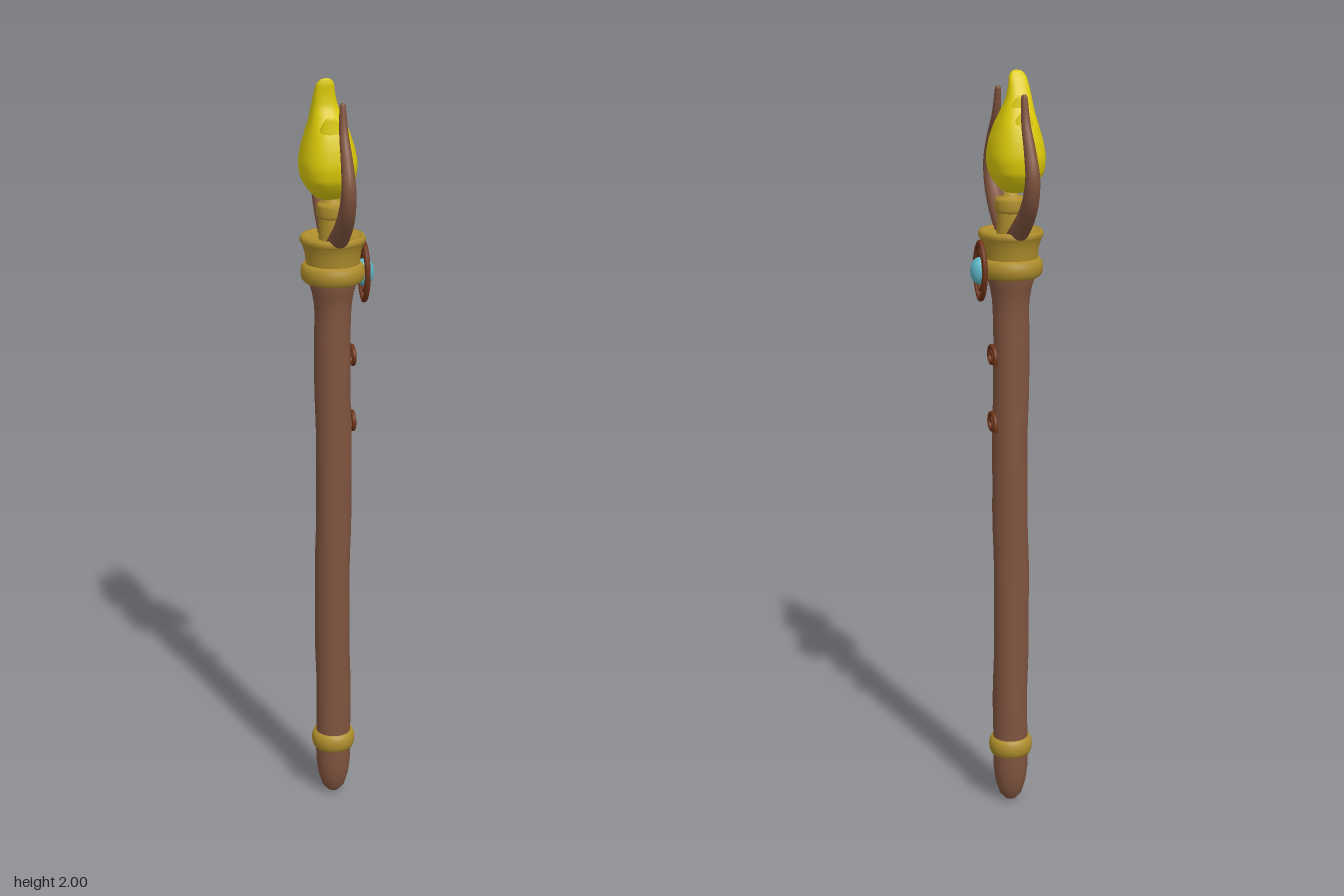
import * as THREE from 'three';

const AXIS = -0.013; // x of the shaft's centre line

const mat = (name, color, side = THREE.FrontSide) => {
  const m = new THREE.MeshStandardMaterial({ color, side });
  m.name = name;
  return m;
};

// Closed loft through stations [y, centreX, centreZ, radiusX, radiusZ]
function loft(stations, power = 1, rings = 40, sides = 36) {
  const centre = new THREE.CatmullRomCurve3(stations.map(s => new THREE.Vector3(s[1], s[0], s[2])));
  const size = new THREE.CatmullRomCurve3(stations.map(s => new THREE.Vector3(s[3], 0, s[4])));
  const round = v => Math.sign(v) * Math.abs(v) ** power;
  const pos = [], index = [];
  for (let i = 0; i <= rings; i++) {
    const c = centre.getPoint(i / rings), r = size.getPoint(i / rings);
    for (let j = 0; j < sides; j++) {
      const a = (j / sides) * Math.PI * 2;
      pos.push(c.x + r.x * round(Math.cos(a)), c.y, c.z + r.z * round(Math.sin(a)));
      if (i === rings) continue;
      const p = i * sides + j, q = i * sides + (j + 1) % sides;
      index.push(p, p + sides, q, q, p + sides, q + sides);
    }
  }
  const g = new THREE.BufferGeometry();
  g.setAttribute('position', new THREE.Float32BufferAttribute(pos, 3));
  g.setIndex(index);
  g.computeVertexNormals();
  return g;
}

// Tube whose radius shrinks from r0 to r1 along the path
function taperedTube(path, r0, r1, segments = 48, sides = 16) {
  const g = new THREE.TubeGeometry(path, segments, 1, sides);
  const p = g.attributes.position, v = new THREE.Vector3();
  for (let i = 0; i < p.count; i++) {
    const t = Math.floor(i / (sides + 1)) / segments;
    const c = path.getPointAt(t);
    v.fromBufferAttribute(p, i).sub(c).multiplyScalar(r0 + (r1 - r0) * t ** 1.3).add(c);
    p.setXYZ(i, v.x, v.y, v.z);
  }
  return g;
}

const lathe = pts => new THREE.LatheGeometry(pts.map(p => new THREE.Vector2(p[0], p[1])), 48);

export function createModel() {
  const wood = mat('wood', 0x80543f);
  const gold = mat('gold', 0xae8d2c, THREE.DoubleSide);
  const flameYellow = mat('flame yellow', 0xdcca08);
  const rust = mat('rust brown', 0x6e3319);
  const teal = mat('teal gem', 0x5cb6c6);

  const model = new THREE.Group();
  model.name = 'torchStaff';
  const add = (name, geometry, material, parent = model) => {
    const m = new THREE.Mesh(geometry, material);
    m.name = name;
    parent.add(m);
    return m;
  };

  // Shaft: rounded foot, long slightly uneven stem, flared top
  const stem = [[0, 0], [0.016, 0.004], [0.03, 0.02], [0.041, 0.055], [0.047, 0.1], [0.048, 0.16]];
  for (let i = 0; i <= 48; i++) stem.push([0.047, 0.19 + i * 0.025]);
  stem.push([0.049, 1.42], [0.054, 1.45], [0.06, 1.47], [0.06, 1.5]);
  const shaft = lathe(stem);
  const p = shaft.attributes.position;
  for (let i = 0; i < p.count; i++) {
    const y = p.getY(i), a = Math.atan2(p.getZ(i), p.getX(i));
    const fade = THREE.MathUtils.smoothstep(y, 0.15, 0.3) * (1 - THREE.MathUtils.smoothstep(y, 1.3, 1.4));
    const s = 1 + 0.03 * fade * Math.sin(a * 3 + y * 9) * Math.sin(y * 17);
    p.setX(i, p.getX(i) * s + 0.002 * fade * Math.sin(y * 8));
    p.setZ(i, p.getZ(i) * s);
  }
  shaft.computeVertexNormals();
  add('shaft', shaft, wood).position.x = AXIS;

  // Gold fittings
  const fittings = new THREE.Group();
  fittings.name = 'goldFittings';
  fittings.position.x = AXIS;
  model.add(fittings);
  add('footRing', lathe([[0.045, 0.14], [0.053, 0.143], [0.058, 0.155], [0.059, 0.167],
    [0.058, 0.178], [0.053, 0.189], [0.045, 0.192]]), gold, fittings);
  add('collarRing', lathe([[0.05, 1.477], [0.072, 1.479], [0.08, 1.487], [0.083, 1.503],
    [0.081, 1.518], [0.074, 1.527], [0.06, 1.53]]), gold, fittings);
  add('collarCup', lathe([[0.068, 1.52], [0.07, 1.535], [0.072, 1.555], [0.077, 1.572], [0.082, 1.584]]), gold, fittings);
  add('collarRim', lathe([[0.08, 1.58], [0.084, 1.585], [0.084, 1.594], [0.08, 1.6],
    [0.072, 1.6], [0.066, 1.592], [0, 1.588]]), gold, fittings);
  add('pedestal', lathe([[0.037, 1.585], [0.036, 1.61], [0.035, 1.65]]), gold, fittings);
  add('pedestalCap', lathe([[0.03, 1.643], [0.038, 1.645], [0.041, 1.653], [0.041, 1.674],
    [0.038, 1.682], [0.02, 1.686], [0.012, 1.705], [0, 1.71]]), gold, fittings);

  // Two curved prongs around the flame, mirrored in z
  for (const s of [1, -1]) {
    const prong = new THREE.Group();
    prong.name = s > 0 ? 'frontProng' : 'backProng';
    model.add(prong);
    const path = new THREE.CatmullRomCurve3([[1.575, 0.03], [1.605, 0.068], [1.645, 0.118], [1.695, 0.158],
      [1.755, 0.174], [1.82, 0.152], [1.88, 0.121], [1.945, 0.107]]
      .map(([y, z]) => new THREE.Vector3(AXIS, y, z * s)));
    add('prongHorn', taperedTube(path, 0.027, 0.008), wood, prong);
    add('prongTip', new THREE.SphereGeometry(0.008, 16, 10), wood, prong).position.copy(path.getPoint(1));
  }

  // Flame: squarish bulb with a curling tip and smaller tongues
  const flame = new THREE.Group();
  flame.name = 'flame';
  model.add(flame);
  add('flameBody', loft([
    [1.693, -0.025, 0, 0.001, 0.001], [1.698, -0.025, 0, 0.03, 0.034], [1.72, -0.025, 0, 0.052, 0.061],
    [1.75, -0.026, 0, 0.068, 0.08], [1.785, -0.026, 0, 0.072, 0.085], [1.825, -0.026, 0, 0.066, 0.08],
    [1.865, -0.027, 0, 0.054, 0.068], [1.9, -0.03, 0, 0.042, 0.046], [1.93, -0.034, 0.001, 0.033, 0.03],
    [1.96, -0.036, 0.008, 0.027, 0.02], [1.985, -0.036, 0.017, 0.022, 0.012],
    [1.997, -0.035, 0.021, 0.013, 0.006], [2.0, -0.035, 0.022, 0.001, 0.001],
  ], 0.82, 60), flameYellow, flame);
  const tongues = [[0.048, 0.058, 1.912], [-0.05, -0.057, 1.905], [-0.022, -0.032, 1.943]];
  for (const [z0, z1, top] of tongues) {
    add('flameTongue', loft([
      [1.8, -0.027, z0 * 0.8, 0.03, 0.02], [top - 0.055, -0.028, z0, 0.034, 0.019],
      [top - 0.025, -0.03, (z0 + z1) / 2, 0.024, 0.012], [top - 0.006, -0.031, z1, 0.012, 0.005],
      [top, -0.031, z1, 0.001, 0.001],
    ], 1, 24, 20), flameYellow, flame);
  }

  // Eye-shaped emblem with a gem on the right-hand side of the collar
  const emblem = new THREE.Group();
  emblem.name = 'emblem';
  emblem.position.set(0.069, 1.497, 0);
  model.add(emblem);
  const eye = (w, h) => {
    const pts = [];
    for (let i = 0; i < 32; i++) {
      const a = (i / 32) * Math.PI * 2;
      const c = Math.cos(a);
      pts.push(new THREE.Vector3(0, h * Math.sin(a), w * Math.sign(c) * Math.abs(c) ** 1.35));
    }
    return new THREE.CatmullRomCurve3(pts, true);
  };
  add('emblemFrame', new THREE.TubeGeometry(eye(0.043, 0.074), 80, 0.007, 10, true), rust, emblem);
  add('gemSetting', new THREE.TubeGeometry(eye(0.03, 0.05), 64, 0.005, 10, true), rust, emblem);
  const gem = add('gem', new THREE.SphereGeometry(1, 28, 20), teal, emblem);
  gem.scale.set(0.026, 0.036, 0.025);

  // Curled ornaments below the emblem
  for (const y of [1.27, 1.09]) {
    const pts = [];
    for (let i = 0; i <= 28; i++) {
      const t = i / 28, a = -0.5 + t * Math.PI * 3, r = 0.036 - 0.029 * t ** 0.8;
      pts.push(new THREE.Vector3(0, r * Math.sin(a), -r * Math.cos(a)));
    }
    const curl = add('curl', taperedTube(new THREE.CatmullRomCurve3(pts), 0.0065, 0.005, 64, 8), rust);
    curl.position.set(0.04, y, -0.004);
  }
  return model;
}
